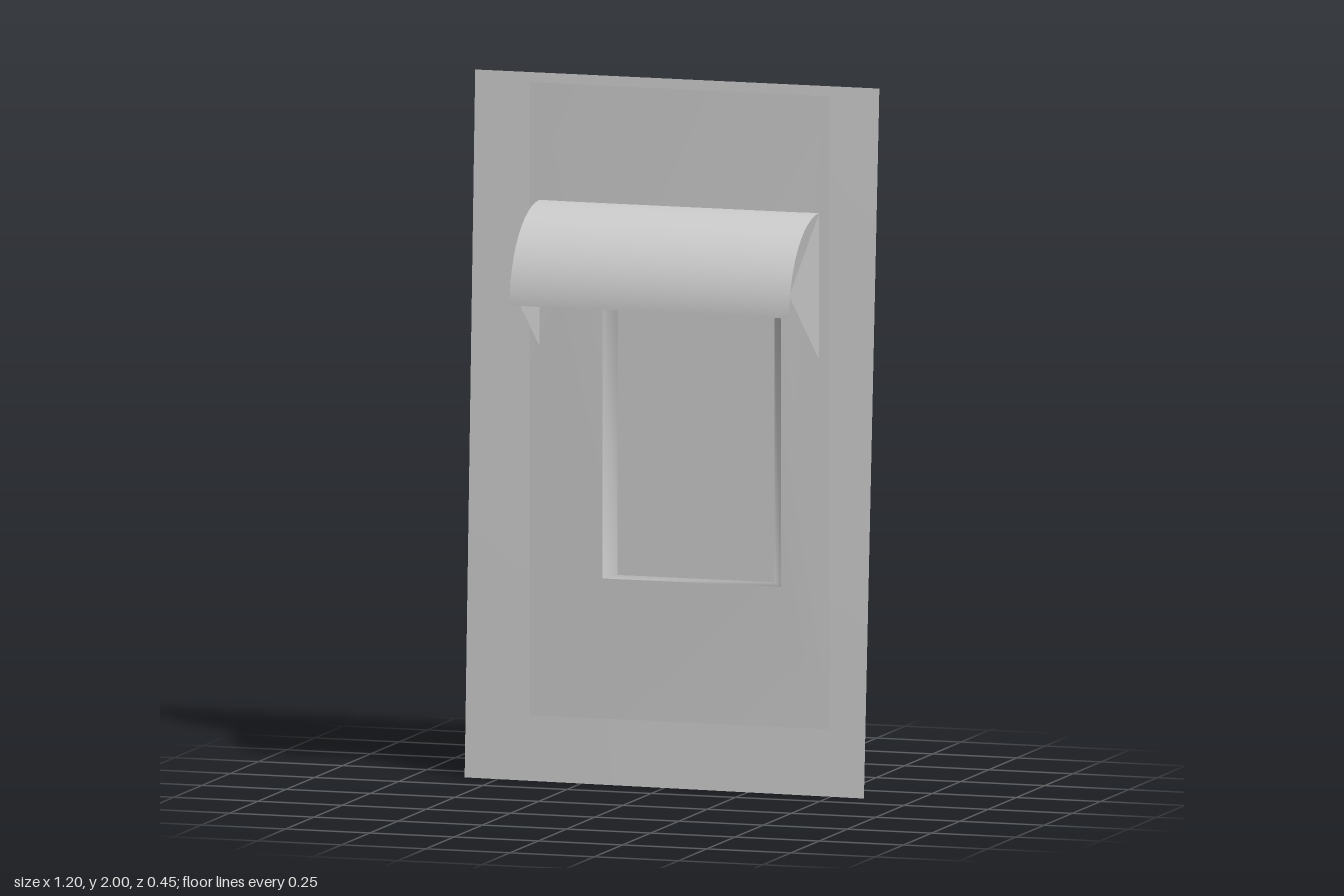
import * as THREE from 'three';

export function createModel() {
  const model = new THREE.Group();
  const grey = new THREE.MeshStandardMaterial({ color: 0xcccccc, side: THREE.DoubleSide });

  function add(name, geometry, parent = model) {
    const mesh = new THREE.Mesh(geometry, grey);
    mesh.name = name;
    parent.add(mesh);
    return mesh;
  }

  // Four corners of an upright rectangle, counter-clockwise from the lower left
  const rect = (x0, x1, y0, y1, z) => [[x0, y0, z], [x1, y0, z], [x1, y1, z], [x0, y1, z]];

  // Band of four quads joining an outer rectangle to an inner one
  function band(outer, inner) {
    const g = new THREE.BufferGeometry();
    const index = [];
    for (let i = 0; i < 4; i++) {
      const j = (i + 1) % 4;
      index.push(i, j, j + 4, i, j + 4, i + 4);
    }
    g.setAttribute('position', new THREE.Float32BufferAttribute([...outer, ...inner].flat(), 3));
    g.setIndex(index);
    g.computeVertexNormals();
    return g;
  }

  // Leaning back panel, slightly twisted along its lower edge
  const panel = new THREE.PlaneGeometry(1.2, 2, 4, 6).translate(0, 1, 0);
  const p = panel.attributes.position;
  for (let i = 0; i < p.count; i++) {
    const bottomZ = -0.115 + 0.036 * p.getX(i);
    p.setZ(i, THREE.MathUtils.lerp(bottomZ, -0.23, p.getY(i) / 2));
  }
  panel.computeVertexNormals();
  add('backPanel', panel);

  // Front wall, rising very slightly toward the window opening
  const wallEdge = rect(-0.375, 0.515, 0.2, 2, -0.04);
  const rim = rect(-0.155, 0.375, 0.6, 1.45, -0.031);
  const paneEdge = rect(-0.115, 0.35, 0.61, 1.44, -0.045);
  add('frontWall', band(wallEdge, rim));

  // Window: sloped reveal and a flat pane
  const window = new THREE.Group();
  window.name = 'window';
  model.add(window);
  add('windowReveal', band(rim, paneEdge), window);
  add('windowPane', new THREE.PlaneGeometry(0.465, 0.83).translate(0.1175, 1.025, -0.045), window);

  // Awning: quarter-round canopy between two triangular brackets
  const awning = new THREE.Group();
  awning.name = 'awning';
  model.add(awning);
  const left = 0.485, right = -0.345, wallZ = -0.04;
  const canopy = new THREE.CylinderGeometry(0.265, 0.265, left - right, 12, 1, true, 0, Math.PI / 2);
  canopy.rotateZ(Math.PI / 2).translate((left + right) / 2, 1.402, wallZ);
  add('canopy', canopy, awning);

  const side = new THREE.Shape([
    new THREE.Vector2(-wallZ, 1.667),
    new THREE.Vector2(-0.225, 1.465),
    new THREE.Vector2(-wallZ, 1.25),
  ]);
  for (const [name, x] of [['leftBracket', left], ['rightBracket', right]]) {
    add(name, new THREE.ShapeGeometry(side).rotateY(Math.PI / 2).translate(x, 0, 0), awning);
  }

  return model;
}
